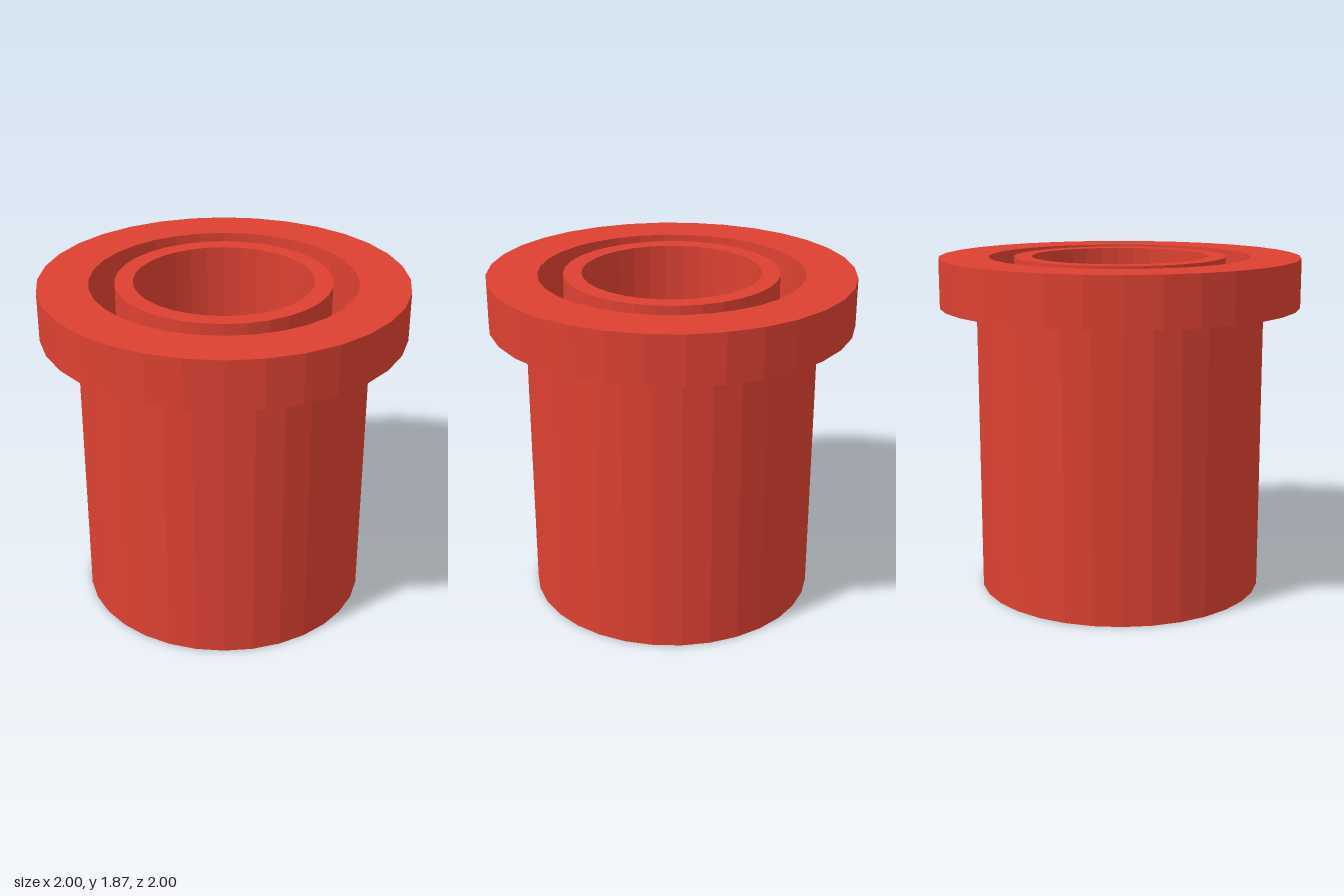
import * as THREE from 'three';

const SIDES = 32;
const HEIGHT = 1.87;      // top of the rim and the inner tube
const RIM_BOTTOM = 1.6;
const FLOOR = 0.08;       // inside floor of the closed bottom

export function createModel() {
  const group = new THREE.Group();
  group.name = 'pipe';
  const material = new THREE.MeshStandardMaterial({ color: 0xdd4132, flatShading: true });

  // Turns a profile of [radius, y] pairs; the outside lies to the right of its direction
  const addTurned = (name, profile) => {
    const points = profile.map(([r, y]) => new THREE.Vector2(r, y));
    const mesh = new THREE.Mesh(new THREE.LatheGeometry(points, SIDES), material);
    mesh.name = name;
    group.add(mesh);
  };

  // Closed bottom and outer wall
  addTurned('body', [[0, 0], [0.8, 0], [0.8, RIM_BOTTOM]]);

  // Wide collar, ending at the groove's outer edge
  addTurned('rim', [[0.8, RIM_BOTTOM], [1, RIM_BOTTOM], [1, HEIGHT], [0.725, HEIGHT]]);

  // Deep groove between the outer wall and the inner tube
  addTurned('groove', [[0.725, HEIGHT], [0.725, FLOOR], [0.587, FLOOR]]);

  // Inner tube with its bore and floor
  addTurned('innerTube', [[0.587, FLOOR], [0.587, HEIGHT], [0.488, HEIGHT], [0.488, FLOOR], [0, FLOOR]]);

  return group;
}
